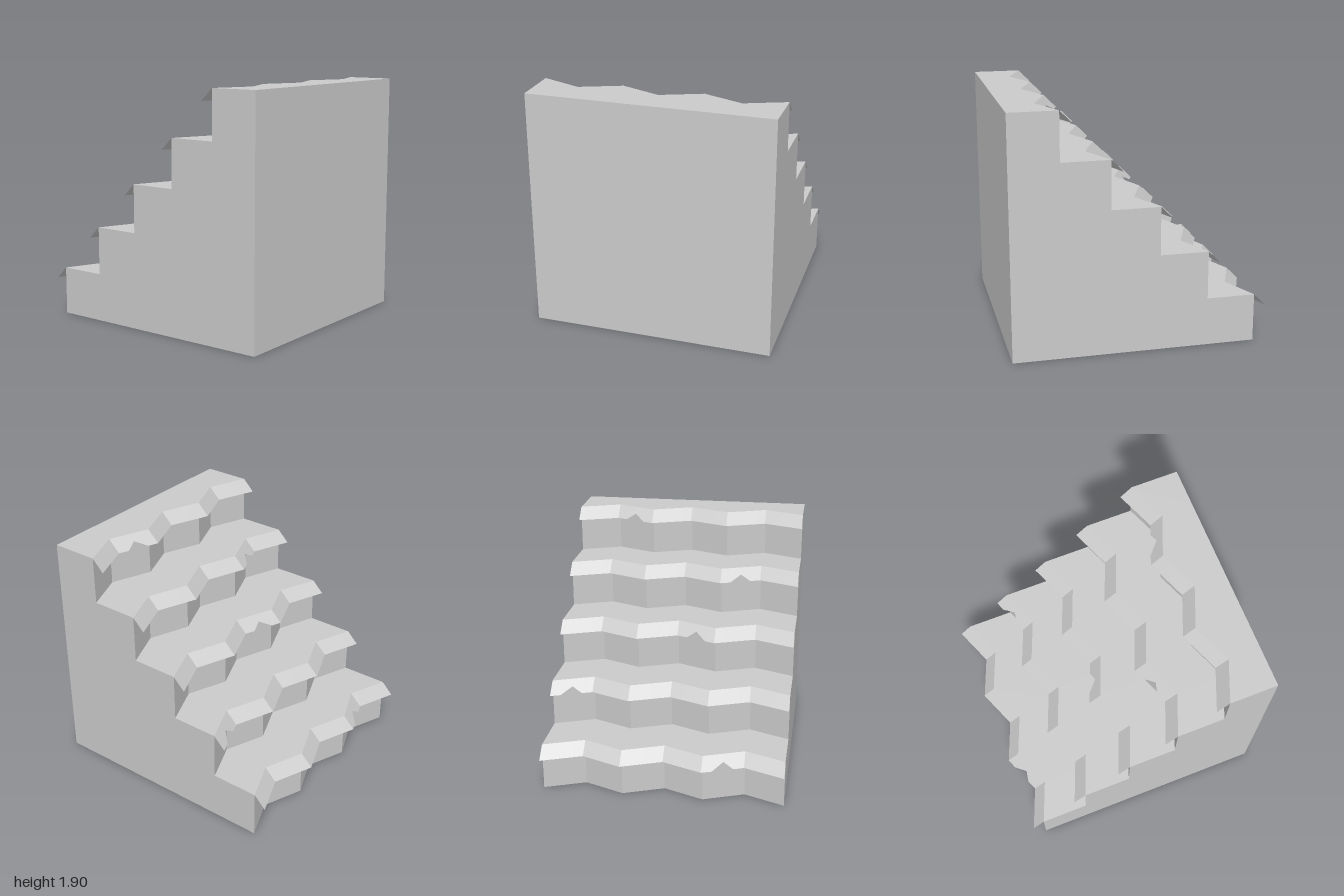
import * as THREE from 'three';

const STEPS = 5, BAYS = 6;
const RISE = 0.381, BAY = 0.3175;
const HALF = BAY * BAYS / 2;
const FRONT = 1, BACK = -0.905;
const ZIG = 0.127, LIP = 0.095;

// Zigzag offset in z: 0 at the outer corners, ZIG at the inner ones
function zigzag(x) {
  const t = (x + HALF) / BAY;
  return ZIG * (1 - Math.abs((t % 2) - 1));
}

function flat(geometry) {
  const g = geometry.index ? geometry.toNonIndexed() : geometry;
  g.computeVertexNormals();
  return g;
}

// Stair profile swept along x, with every riser folded into a zigzag
function stairGeometry() {
  const shape = new THREE.Shape();
  shape.moveTo(-FRONT, 0);
  shape.lineTo(-BACK, 0);
  for (let i = 0; i < STEPS; i++) {
    const y = (i + 1) * RISE;
    shape.lineTo(-(BACK + i * RISE), y);
    shape.lineTo(i < STEPS - 1 ? -(BACK + (i + 1) * RISE) : -FRONT, y);
  }
  const g = new THREE.ExtrudeGeometry(shape, { depth: 2 * HALF, steps: BAYS, bevelEnabled: false });
  g.rotateY(Math.PI / 2).translate(-HALF, 0, 0);
  const p = g.attributes.position;
  for (let i = 0; i < p.count; i++) {
    if (p.getZ(i) < FRONT - 0.01) p.setZ(i, p.getZ(i) + zigzag(p.getX(i)));
  }
  return flat(g);
}

// Thin sloping lip along a step edge, with one notch in its lower rim
function lipGeometry(step, notchX) {
  const g = new THREE.PlaneGeometry(2 * HALF, 1, BAYS * 4, 1);
  g.rotateY(Math.PI);
  const p = g.attributes.position;
  for (let i = 0; i < p.count; i++) {
    const x = p.getX(i);
    let out = p.getY(i) > 0 ? 0 : LIP;
    if (Math.abs(x - notchX) < 0.01) out /= 2;
    p.setXYZ(i, x, (step + 1) * RISE - out, BACK + step * RISE + zigzag(x) - out);
  }
  return flat(g);
}

export function createModel() {
  const group = new THREE.Group();
  group.name = 'zigzagStairs';

  const stairs = new THREE.Mesh(stairGeometry(),
    new THREE.MeshStandardMaterial({ color: 0xcccccc, flatShading: true }));
  stairs.name = 'stairBody';
  group.add(stairs);

  // Bay holding the notch on each step, lowest step first
  const lipMaterial = new THREE.MeshStandardMaterial({ color: 0xcccccc, flatShading: true, side: THREE.DoubleSide });
  [1, 5, 2, 1, 4].forEach((bay, step) => {
    const lip = new THREE.Mesh(lipGeometry(step, -HALF + (bay + 0.5) * BAY), lipMaterial);
    lip.name = 'stepLip' + (step + 1);
    group.add(lip);
  });
  return group;
}
